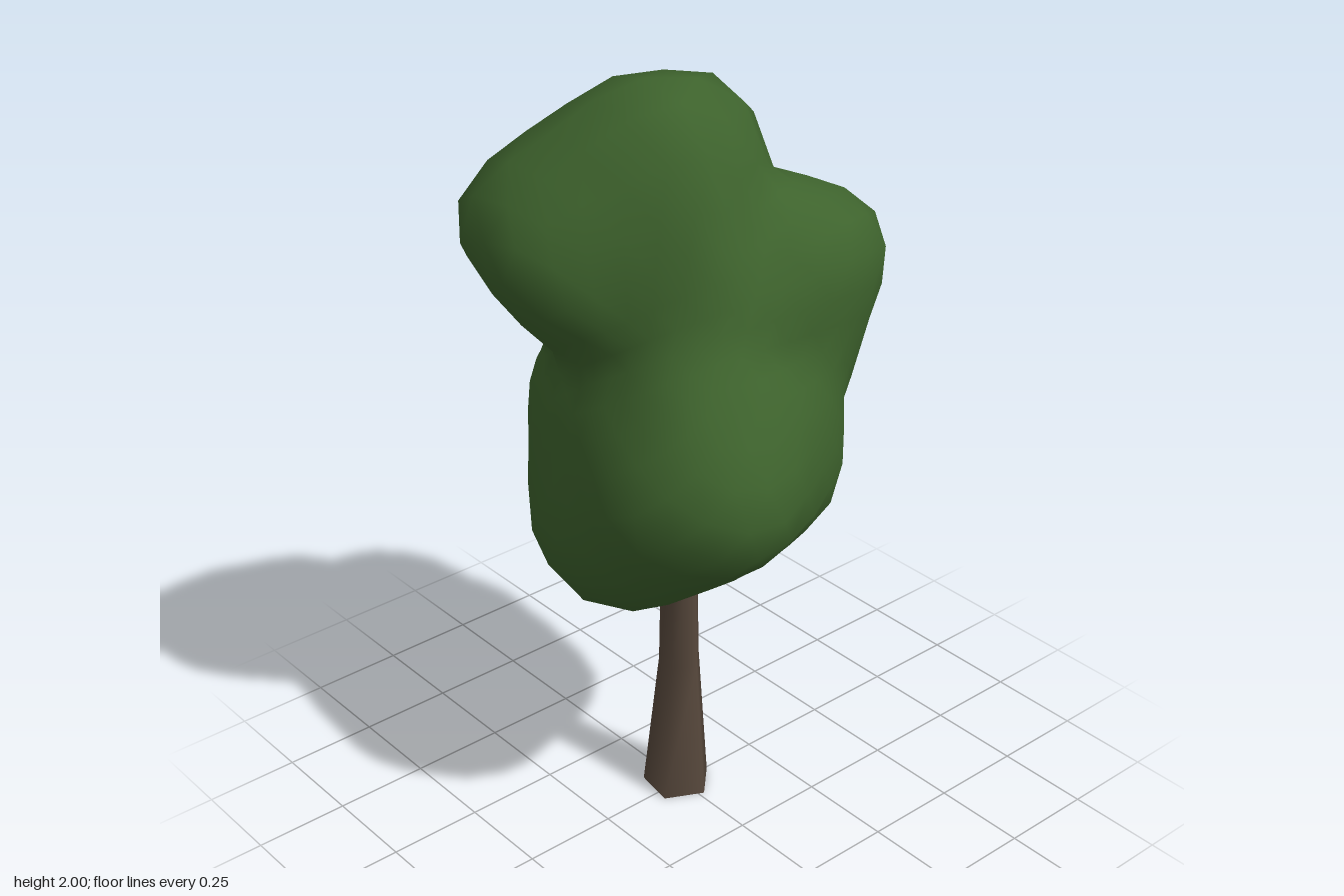
import * as THREE from 'three';
import { mergeVertices } from 'three/addons/utils/BufferGeometryUtils.js';

const ball = (x, y, z, r) => ({ c: new THREE.Vector3(x, y, z), r });
const centre = new THREE.Vector3(0, 1.32, 0);

// Balls that mark out the crown
const hub = ball(0, 1.35, 0, 0.23);
const top = [ball(0.025, 1.83, 0.07, 0.17), ball(0.01, 1.81, -0.02, 0.17), ball(-0.05, 1.8, 0.1, 0.18)];
const front = [
  ball(-0.185, 1.64, 0.29, 0.18), ball(-0.09, 1.6, 0.285, 0.18),
  ball(-0.17, 1.61, 0.12, 0.19), ball(-0.13, 1.61, -0.03, 0.19),
];
const back = [ball(0.15, 1.51, -0.295, 0.17), ball(0.2, 1.54, -0.2, 0.16)];
const shoulder = ball(0.07, 1.57, -0.08, 0.2);
const side = ball(0.11, 1.38, 0.06, 0.2);
const right = ball(-0.275, 1.235, -0.165, 0.215);
const midBack = ball(-0.05, 1.25, -0.185, 0.2);
const midFront = ball(-0.12, 1.17, 0.12, 0.2);
const left = [ball(0.27, 1.08, 0.13, 0.22), ball(0.22, 1.07, 0.19, 0.2), ball(0.2, 1.04, -0.1, 0.19)];
const flank = ball(0.19, 1.29, -0.13, 0.165);
const low = [ball(-0.02, 0.89, 0.14, 0.25), ball(-0.02, 0.9, -0.08, 0.255)];

// Each lobe is the taut skin around a few balls
const lobes = [
  [hub, ...top, ...front],
  [hub, ...top, side],
  [hub, ...back, shoulder, side],
  [hub, ...back, flank, midBack, low[1]],
  [hub, right, midBack, midFront, side, flank, ...left, ...low],
];

function smoothMax(a, b, k) {
  const h = Math.max(k - Math.abs(a - b), 0) / k;
  return Math.max(a, b) + h * h * k / 4;
}

function foliageGeometry() {
  let g = new THREE.IcosahedronGeometry(1, 6);
  g.deleteAttribute('uv');
  g.deleteAttribute('normal');
  g = mergeVertices(g, 1e-4);
  const pos = g.attributes.position;
  const dirs = Array.from({ length: pos.count },
    (_, i) => new THREE.Vector3().fromBufferAttribute(pos, i).normalize());

  // How far each lobe reaches from the centre along every direction's plane
  const offset = new THREE.Vector3();
  const reach = lobes.map((balls) => dirs.map((n) =>
    Math.max(...balls.map((b) => offset.subVectors(b.c, centre).dot(n) + b.r))));

  // Push each sphere point out to the furthest lobe skin, softening the creases
  dirs.forEach((d, i) => {
    const radii = reach.map((h) => {
      let t = 2;
      dirs.forEach((n, j) => {
        const cos = n.dot(d);
        if (cos > 0.05) t = Math.min(t, h[j] / cos);
      });
      return t;
    });
    const r = radii.reduce((a, b) => smoothMax(a, b, 0.02));
    pos.setXYZ(i, centre.x + d.x * r, centre.y + d.y * r, centre.z + d.z * r);
  });
  g.computeVertexNormals();
  return g;
}

// Five-sided open trunk, flared towards the ground
function trunkGeometry() {
  const height = 0.8;
  let g = new THREE.CylinderGeometry(1, 1, height, 5, 2, true, -Math.PI / 4);
  g.translate(0, height / 2, 0);
  const pos = g.attributes.position;
  for (let i = 0; i < pos.count; i++) {
    const y = pos.getY(i);
    const r = y < 0.1 ? 0.092 : y < 0.5 ? 0.056 : 0.048;
    const lean = y < 0.1 ? -0.01 : 0.001;
    pos.setXYZ(i, pos.getX(i) * r + lean, y, pos.getZ(i) * r);
  }
  g.deleteAttribute('uv');
  g.deleteAttribute('normal');
  g = mergeVertices(g, 1e-4);
  g.computeVertexNormals();
  return g;
}

export function createModel() {
  const leafGreen = new THREE.MeshStandardMaterial({ color: 0x3e632d });
  leafGreen.name = 'leafGreen';
  const barkBrown = new THREE.MeshStandardMaterial({ color: 0x57483c, side: THREE.DoubleSide });
  barkBrown.name = 'barkBrown';

  const foliage = new THREE.Mesh(foliageGeometry(), leafGreen);
  foliage.name = 'foliage';
  const trunk = new THREE.Mesh(trunkGeometry(), barkBrown);
  trunk.name = 'trunk';

  const tree = new THREE.Group();
  tree.name = 'tree';
  tree.add(trunk, foliage);
  return tree;
}
